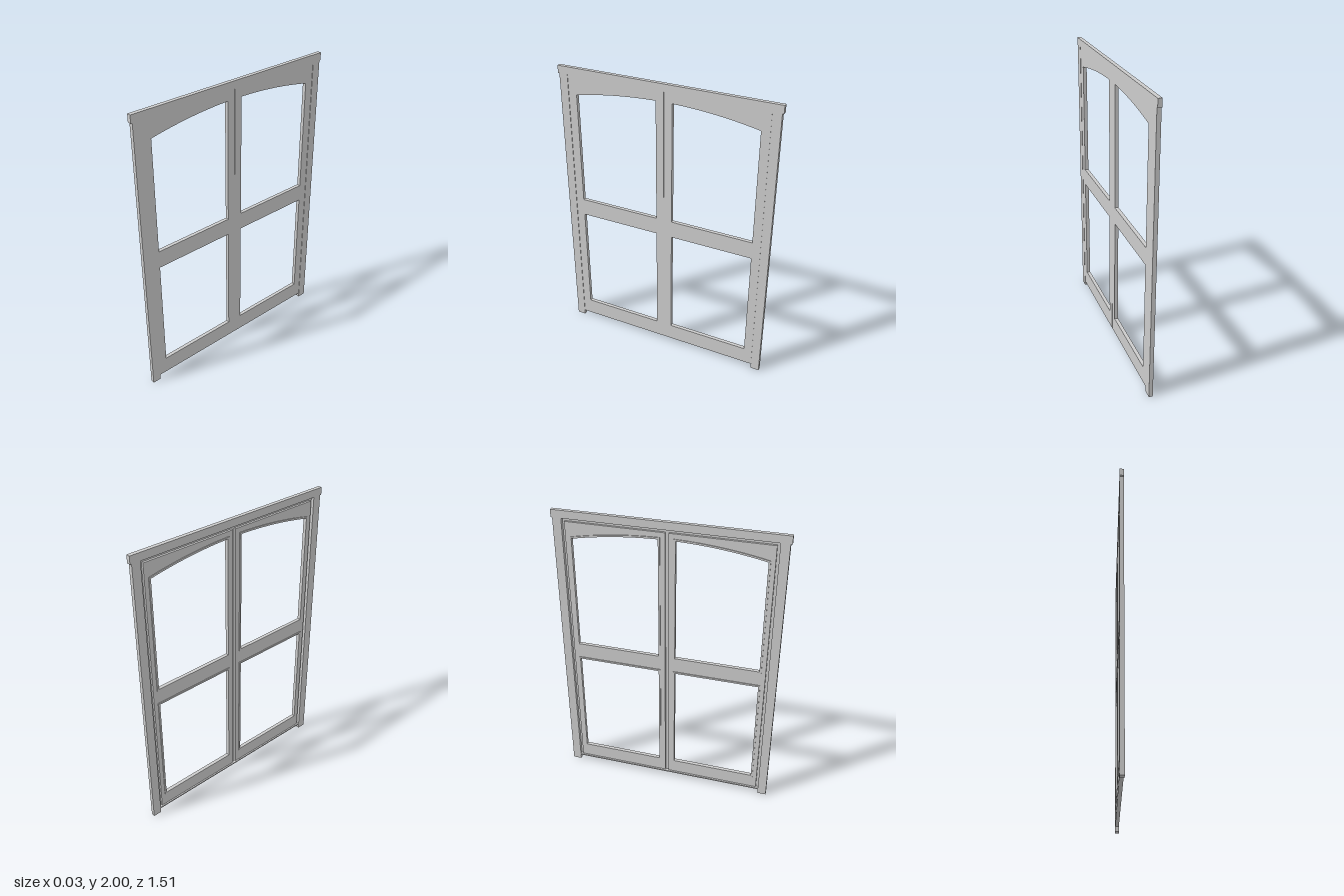
import * as THREE from 'three';

const material = new THREE.MeshStandardMaterial({ color: 0xcccccc, flatShading: true });
const HALF = 0.0135; // half the thickness of the whole unit

// Underside of the segmental arch, at distance z from the middle
const archY = (z) => {
  const r = 3.086;
  return 1.883 - r + Math.sqrt(r * r - z * z);
};

// Counter-clockwise outline in the (z, y) plane with an optional arched head; s mirrors it
function outline(s, z0, z1, y0, y1, arched = false, lift = 0) {
  const pts = [[z0, y0], [z1, y0]];
  if (arched) {
    for (let i = 0; i <= 12; i++) {
      const z = z1 + (z0 - z1) * i / 12;
      pts.push([z, archY(z) + lift]);
    }
  } else pts.push([z1, y1], [z0, y1]);
  if (s < 0) pts.reverse();
  return pts.map(([z, y]) => new THREE.Vector2(s * z, y));
}

// Extrudes an outline with holes across the thickness, from x0 to x1
function slab(name, points, holes, x0, x1) {
  const shape = new THREE.Shape(points);
  shape.holes = holes.map((h) => new THREE.Path([...h].reverse()));
  const geo = new THREE.ExtrudeGeometry(shape, { depth: x1 - x0, bevelEnabled: false });
  geo.rotateY(-Math.PI / 2);
  geo.translate(x1, 0, 0);
  const mesh = new THREE.Mesh(geo, material);
  mesh.name = name;
  return mesh;
}

function box(name, x0, x1, y0, y1, z0, z1) {
  const mesh = new THREE.Mesh(new THREE.BoxGeometry(x1 - x0, y1 - y0, z1 - z0), material);
  mesh.position.set((x0 + x1) / 2, (y0 + y1) / 2, (z0 + z1) / 2);
  mesh.name = name;
  return mesh;
}

// One leaf: closing lip, recessed body and glazing beads
function doorLeaf(s) {
  const leaf = new THREE.Group();
  leaf.name = s > 0 ? 'frontDoorLeaf' : 'backDoorLeaf';
  const panes = [
    { y0: 0.153, y1: 0.923, arched: false },
    { y0: 1.043, y1: 1.88, arched: true },
  ];
  const hole = (p, g = 0) =>
    outline(s, 0.056 - g, 0.627 + g, p.y0 - g, p.y1 + g, p.arched, g);
  const holes = panes.map((p) => hole(p));

  leaf.add(slab('leafLip', outline(s, 0.001, 0.685, 0.035, 1.948), holes, 0.007, 0.0115));
  leaf.add(slab('leafBody', outline(s, 0.012, 0.668, 0.05, 1.928), holes, -0.008, 0.007));
  panes.forEach((p) => leaf.add(slab('glazingBead', hole(p, 0.012), [hole(p)], -HALF, -0.008)));
  return leaf;
}

export function createModel() {
  const model = new THREE.Group();
  model.name = 'doubleDoor';

  // Fixed frame
  model.add(box('headCap', -HALF, HALF, 1.948, 2, -0.755, 0.755));
  model.add(box('frontJamb', -HALF, HALF, 0, 1.948, 0.686, 0.745));
  model.add(box('backJamb', -HALF, HALF, 0, 1.948, -0.745, -0.686));
  model.add(box('sillStrip', -HALF, 0.007, 0.035, 0.044, -0.686, 0.686));

  // Mirrored leaves
  for (const s of [1, -1]) model.add(doorLeaf(s));
  return model;
}
